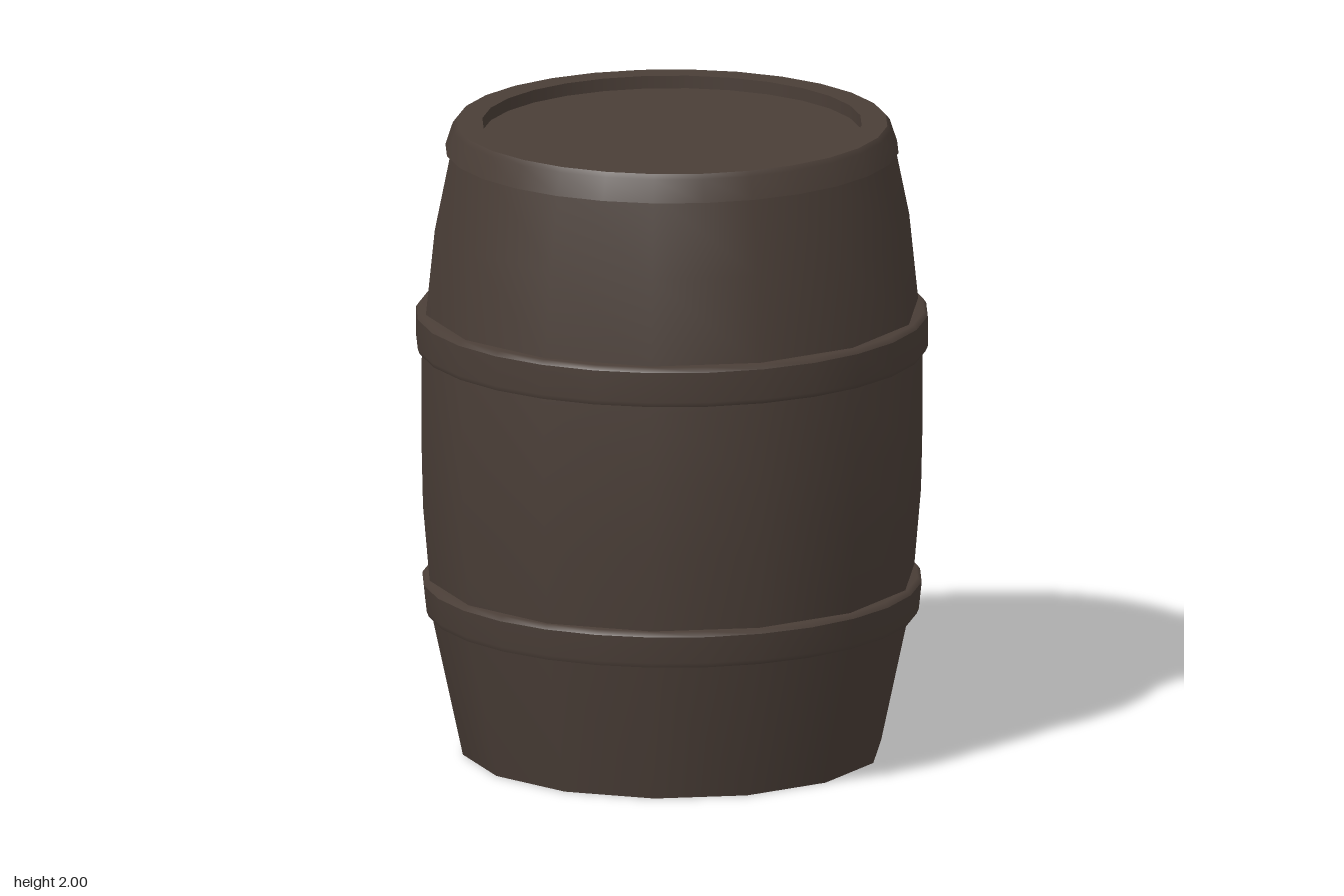
import * as THREE from 'three';
import { mergeGeometries } from 'three/addons/utils/BufferGeometryUtils.js';

const START = THREE.MathUtils.degToRad(9.5);

// Each run is one smooth stretch of the profile; edges between runs stay sharp.
function turned(name, sides, runs, material) {
  const parts = runs.map((run) => new THREE.LatheGeometry(
    run.map(([r, y]) => new THREE.Vector2(r, y)), sides, START));
  const mesh = new THREE.Mesh(mergeGeometries(parts), material);
  mesh.name = name;
  return mesh;
}

export function createModel() {
  const model = new THREE.Group();
  model.name = 'barrel';
  const wood = new THREE.MeshStandardMaterial({ color: 0x4a3e37 });
  wood.name = 'dark brown wood';

  // Bulging staves, with a recessed base
  model.add(turned('body', 14, [
    [[0, 0.06], [0.59, 0.06]],
    [[0.59, 0.06], [0.59, 0]],
    [[0.59, 0], [0.655, 0]],
    [[0.655, 0], [0.75, 0.44], [0.76, 0.57], [0.78, 0.8], [0.785, 1.02],
      [0.785, 1.26], [0.772, 1.4], [0.743, 1.68], [0.69, 1.94]],
  ], wood));

  // Lower and upper hoops
  model.add(turned('lowerHoop', 28, [
    [[0.71, 0.445], [0.762, 0.445]],
    [[0.762, 0.445], [0.768, 0.46], [0.777, 0.545]],
    [[0.777, 0.545], [0.765, 0.56], [0.71, 0.56]],
  ], wood));
  model.add(turned('upperHoop', 28, [
    [[0.73, 1.285], [0.79, 1.285]],
    [[0.79, 1.285], [0.796, 1.3], [0.796, 1.395]],
    [[0.796, 1.395], [0.785, 1.41], [0.73, 1.41]],
  ], wood));

  // Sloped top rim around the sunken lid
  model.add(turned('topRim', 28, [
    [[0.64, 1.915], [0.705, 1.915]],
    [[0.705, 1.915], [0.682, 1.985], [0.67, 2]],
    [[0.67, 2], [0.59, 2]],
    [[0.59, 2], [0.59, 1.96]],
  ], wood));
  model.add(turned('lid', 28, [[[0.59, 1.96], [0, 1.96]]], wood));

  return model;
}
